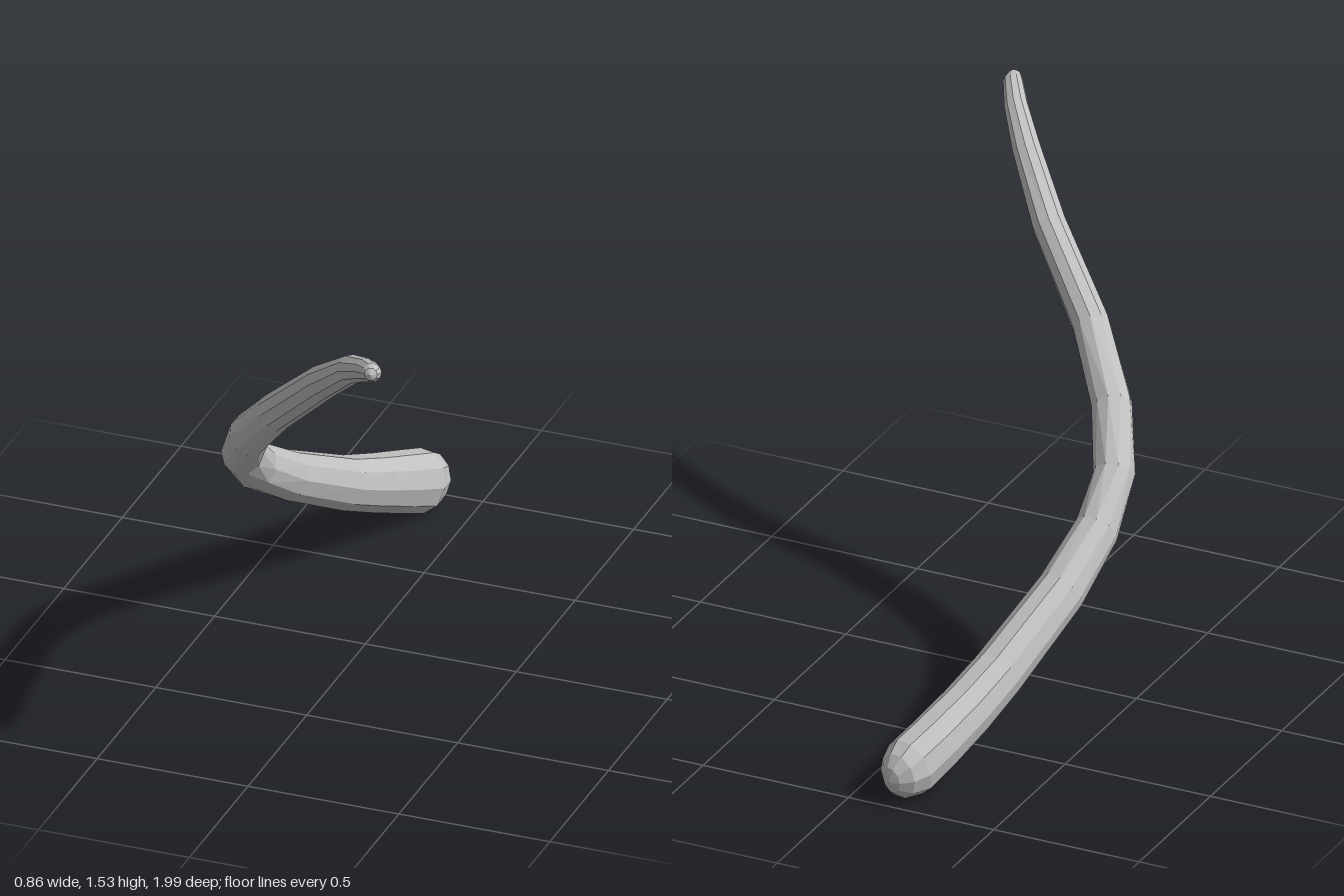
import * as THREE from 'three';

// Cross-sections from the thick end to the tip: x, y, z, sideways radius, upright radius
const SECTIONS = [
  [-0.14, 0.088, -0.985, 0.035, 0.045],
  [-0.148, 0.092, -0.955, 0.068, 0.08],
  [-0.16, 0.1, -0.895, 0.087, 0.104],
  [-0.19, 0.138, -0.8, 0.088, 0.1],
  [-0.232, 0.2, -0.65, 0.086, 0.093],
  [-0.268, 0.268, -0.5, 0.083, 0.087],
  [-0.338, 0.432, -0.2, 0.077, 0.08],
  [-0.364, 0.56, 0, 0.069, 0.077],
  [-0.35, 0.685, 0.15, 0.066, 0.074],
  [-0.268, 0.837, 0.3, 0.064, 0.069],
  [-0.12, 1.02, 0.45, 0.059, 0.061],
  [0.095, 1.242, 0.6, 0.055, 0.056],
  [0.25, 1.395, 0.76, 0.046, 0.046],
  [0.345, 1.47, 0.88, 0.038, 0.037],
  [0.395, 1.51, 0.96, 0.031, 0.03],
  [0.401, 1.518, 0.985, 0.02, 0.02],
];
const START = [-0.139, 0.088, -1];
const END = [0.402, 1.52, 0.994];
const SIDES = 10;

// Closed tube lofted through oval sections, each square to the path
function loft(sections, start, end, sides) {
  const centres = sections.map(([x, y, z]) => new THREE.Vector3(x, y, z));
  const up = new THREE.Vector3(0, 1, 0);
  const positions = [];
  const index = [];
  const last = sections.length - 1;

  sections.forEach(([, , , rSide, rUp], i) => {
    const tangent = centres[Math.min(i + 1, last)].clone()
      .sub(centres[Math.max(i - 1, 0)]).normalize();
    const side = up.clone().cross(tangent).normalize();
    const normal = tangent.clone().cross(side);
    for (let j = 0; j < sides; j++) {
      const a = (j / sides) * Math.PI * 2;
      const p = centres[i].clone()
        .addScaledVector(side, rSide * Math.cos(a))
        .addScaledVector(normal, rUp * Math.sin(a));
      positions.push(p.x, p.y, p.z);
    }
  });

  // Walls
  for (let i = 0; i < last; i++) {
    for (let j = 0; j < sides; j++) {
      const k = (j + 1) % sides;
      const a = i * sides + j, b = i * sides + k;
      index.push(a, b, a + sides, b, b + sides, a + sides);
    }
  }

  // End caps
  const startId = positions.length / 3;
  positions.push(...start, ...end);
  for (let j = 0; j < sides; j++) {
    const k = (j + 1) % sides;
    index.push(startId, k, j);
    index.push(startId + 1, last * sides + j, last * sides + k);
  }

  const geometry = new THREE.BufferGeometry();
  geometry.setAttribute('position', new THREE.Float32BufferAttribute(positions, 3));
  geometry.setIndex(index);
  geometry.computeVertexNormals();
  return geometry;
}

export function createModel() {
  const group = new THREE.Group();
  group.name = 'curvedTail';

  const grey = new THREE.MeshStandardMaterial({ color: 0xc0c0c0, flatShading: true });
  grey.name = 'light grey';

  const tail = new THREE.Mesh(loft(SECTIONS, START, END, SIDES), grey);
  tail.name = 'taperedTail';
  group.add(tail);
  return group;
}
